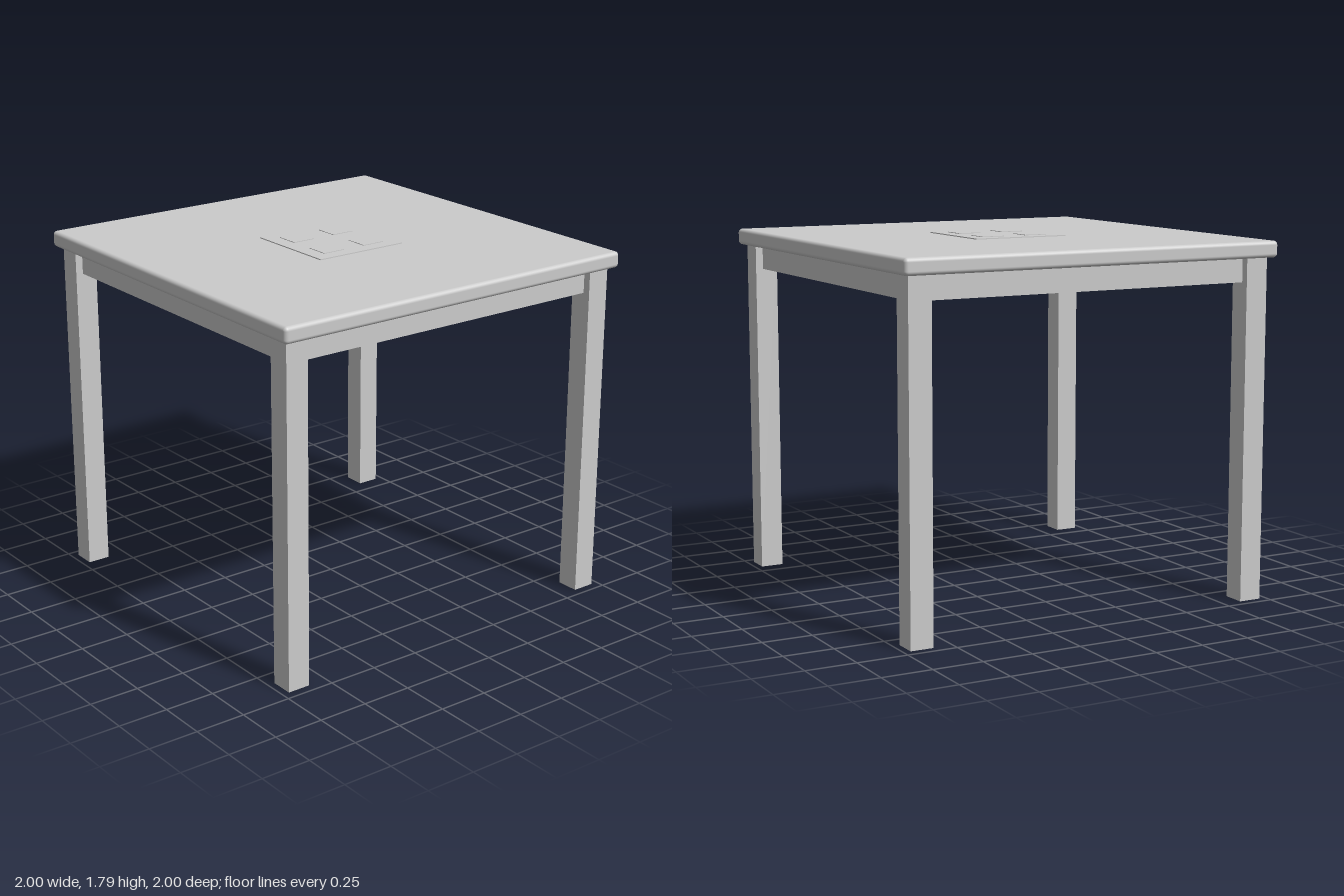
import * as THREE from 'three';
import { RoundedBoxGeometry } from 'three/addons/geometries/RoundedBoxGeometry.js';

export function createModel() {
  const table = new THREE.Group();
  table.name = 'table';
  const material = new THREE.MeshStandardMaterial({ color: 0xcccccc });

  const add = (name, geometry, x, y, z) => {
    const mesh = new THREE.Mesh(geometry, material);
    mesh.name = name;
    mesh.position.set(x, y, z);
    table.add(mesh);
  };

  // Softly rounded square top
  const topY = 1.781;
  const topThickness = 0.081;
  const underside = topY - topThickness;
  add('tableTop', new RoundedBoxGeometry(2, topThickness, 2, 4, 0.02), 0, topY - topThickness / 2, 0);

  // Legs, with the aprons centred on their width
  const legWidth = 0.116;
  const legX = 0.897;
  const legZ = 0.906;
  const apronHeight = 0.12;
  const apronY = underside - apronHeight / 2;
  const apronThickness = 0.04;
  const legGeometry = new THREE.BoxGeometry(legWidth, underside, legWidth);
  const longApron = new THREE.BoxGeometry(2 * legX - legWidth, apronHeight, apronThickness);
  const sideApron = new THREE.BoxGeometry(apronThickness, apronHeight, 2 * legZ - legWidth);
  for (const s of [-1, 1]) {
    for (const t of [-1, 1]) {
      add(`${t > 0 ? 'front' : 'back'}${s > 0 ? 'Left' : 'Right'}Leg`, legGeometry, s * legX, underside / 2, t * legZ);
    }
    add(s > 0 ? 'frontApron' : 'backApron', longApron, 0, apronY, s * legZ);
    add(s > 0 ? 'leftApron' : 'rightApron', sideApron, s * legX, apronY, 0);
  }

  // Thin central plate carrying four raised square pads
  add('centrePlate', new THREE.BoxGeometry(0.5, 0.01, 0.5), 0, topY, 0);
  const padGeometry = new THREE.BoxGeometry(0.12, 0.01, 0.12);
  for (const x of [-0.123, 0.123]) {
    for (const z of [-0.123, 0.117]) add('platePad', padGeometry, x, topY + 0.003, z);
  }

  return table;
}
